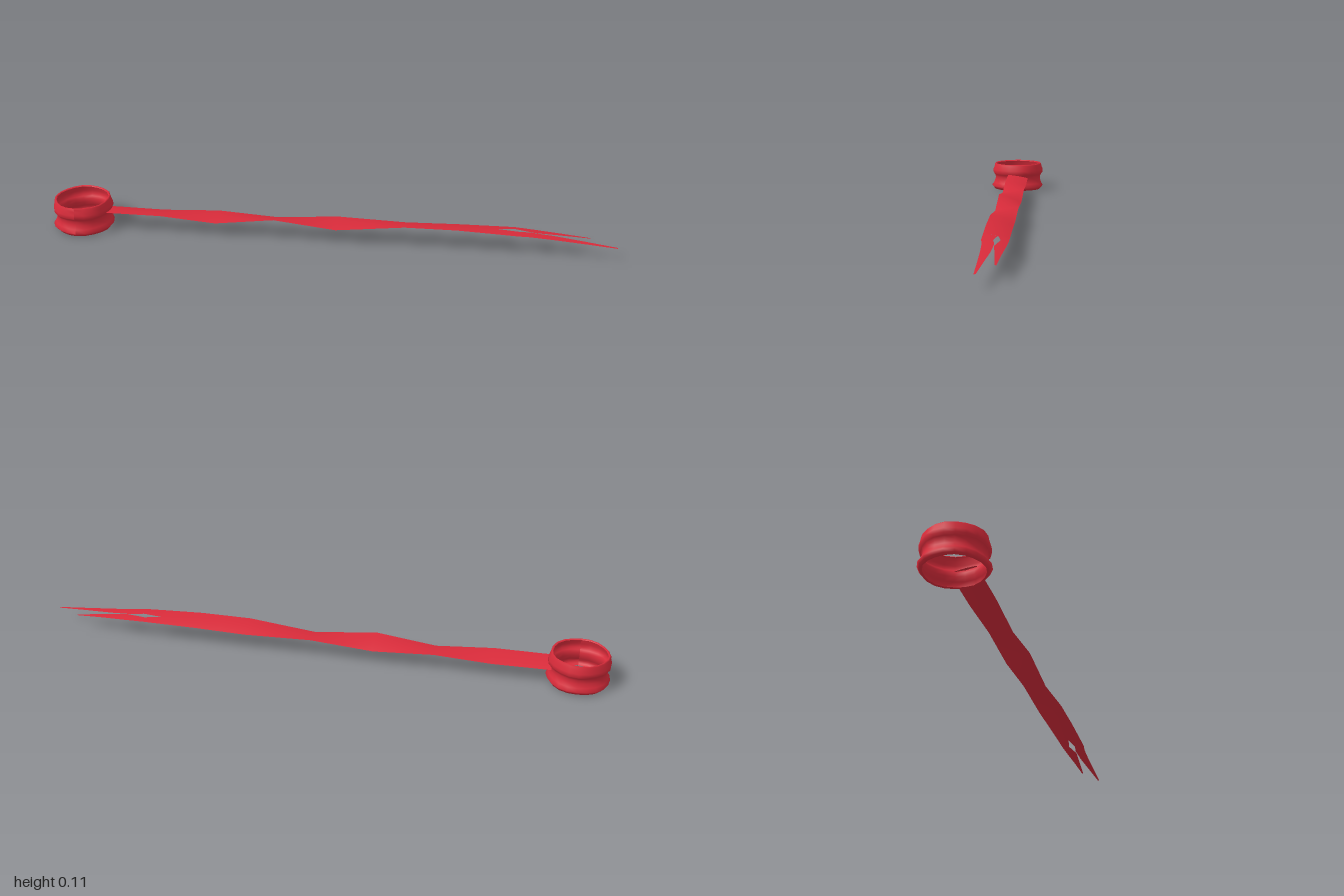
import * as THREE from 'three';

const material = new THREE.MeshStandardMaterial({ color: 0xd82b3a, side: THREE.DoubleSide });

// Linear interpolation through rows of [x, a, b, ...]
function sample(rows, x, column) {
  let i = 1;
  while (i < rows.length - 1 && rows[i][0] < x) i++;
  const [p, q] = [rows[i - 1], rows[i]];
  const t = THREE.MathUtils.clamp((x - p[0]) / (q[0] - p[0]), 0, 1);
  return THREE.MathUtils.lerp(p[column], q[column], t);
}

// Cloth waves: [x, centre height, rise of the front edge]
const waves = [
  [-0.8, 0.062, 0.007], [-0.6, 0.061, 0.008], [-0.4, 0.058, -0.005],
  [-0.19, 0.065, 0.015], [0.03, 0.061, -0.006], [0.27, 0.071, 0.011],
  [0.45, 0.074, 0.009], [0.65, 0.071, 0.004], [0.8, 0.06, 0.003], [1, 0.044, 0.002],
];

function clothHeight(x, z) {
  const s = (z + 0.005) / 0.041;
  return sample(waves, x, 1) + sample(waves, x, 2) * s + 0.003 * (1 - s * s);
}

// Cloth strip between a back and a front edge, rows are [x, zBack, zFront]
function clothStrip(name, rows, across) {
  const positions = [];
  const indices = [];
  const n = across + 1;
  rows.forEach(([x, back, front], i) => {
    for (let j = 0; j <= across; j++) {
      const z = THREE.MathUtils.lerp(back, front, j / across);
      positions.push(x, clothHeight(x, z), z);
      if (i && j) {
        const d = i * n + j;
        const [a, b, c] = [d - n - 1, d - n, d - 1];
        indices.push(a, b, c, b, d, c);
      }
    }
  });
  const geometry = new THREE.BufferGeometry();
  geometry.setAttribute('position', new THREE.Float32BufferAttribute(positions, 3));
  geometry.setIndex(indices);
  geometry.computeVertexNormals();
  const mesh = new THREE.Mesh(geometry, material);
  mesh.name = name;
  return mesh;
}

export function createModel() {
  const model = new THREE.Group();
  model.name = 'headband';

  // Wrapped band: two puffed folds with a waist between them
  const profile = [
    [0.092, 0.004], [0.097, 0.001], [0.102, 0.007], [0.108, 0.015], [0.1, 0.027],
    [0.095, 0.042], [0.095, 0.055], [0.099, 0.064], [0.105, 0.071], [0.105, 0.084],
    [0.1, 0.096], [0.099, 0.106], [0.095, 0.11], [0.091, 0.106],
  ].map(([r, y]) => new THREE.Vector2(r, y));
  const bandGeometry = new THREE.LatheGeometry(profile, 20);
  // Slight unevenness of the wrapped cloth
  const p = bandGeometry.attributes.position;
  for (let i = 0; i < p.count; i++) {
    const angle = Math.atan2(p.getZ(i), p.getX(i));
    const k = 1 + 0.015 * Math.sin(5 * angle + p.getY(i) * 40);
    p.setXYZ(i, p.getX(i) * k, p.getY(i), p.getZ(i) * k);
  }
  bandGeometry.computeVertexNormals();
  const band = new THREE.Mesh(bandGeometry, material);
  band.name = 'wrappedBand';
  band.position.x = -0.89;
  model.add(band);

  // Long trailing ribbon
  const ribbonRows = [-0.8, -0.7, -0.6, -0.5, -0.4, -0.3, -0.19, -0.08, 0.03, 0.15, 0.27, 0.36, 0.45, 0.59]
    .map((x) => [x, -0.046, 0.036]);
  model.add(clothStrip('ribbon', ribbonRows, 6));

  // Forked end with two frayed tails
  model.add(clothStrip('backTail', [
    [0.59, -0.046, -0.01], [0.65, -0.046, -0.022], [0.72, -0.041, -0.007],
    [0.8, -0.034, -0.013], [0.91, -0.026, -0.021],
  ], 3));
  model.add(clothStrip('frontTail', [
    [0.59, -0.01, 0.036], [0.66, 0, 0.036], [0.7, -0.006, 0.031],
    [0.78, -0.002, 0.029], [0.9, 0.012, 0.029], [1, 0.024, 0.03],
  ], 3));

  return model;
}
